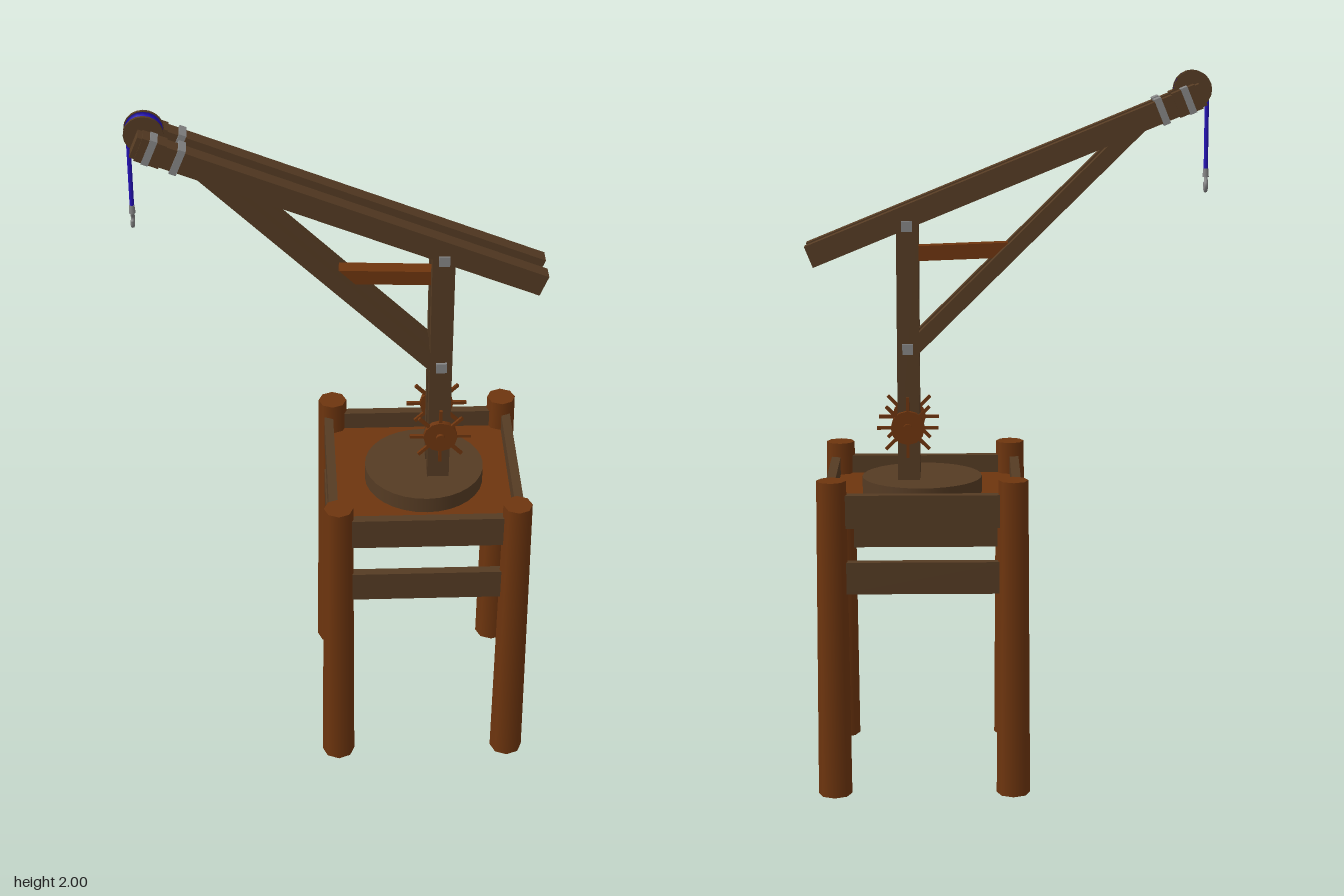
import * as THREE from 'three';

const mat = (name, color, side = THREE.FrontSide) => {
  const m = new THREE.MeshStandardMaterial({ color, side });
  m.name = name;
  return m;
};

export function createModel() {
  const wood = mat('dark wood', 0x553b23);
  const rust = mat('red wood', 0x6e350e);
  const blue = mat('blue rope', 0x2411b8);
  const iron = mat('grey iron', 0x868686);
  const crane = new THREE.Group();
  crane.name = 'crane';

  const add = (name, geo, material, x, y, z, parent = crane) => {
    const mesh = new THREE.Mesh(geo, material);
    mesh.name = name;
    mesh.position.set(x, y, z);
    parent.add(mesh);
    return mesh;
  };
  const box = (name, material, w, h, d, x, y, z) =>
    add(name, new THREE.BoxGeometry(w, h, d), material, x, y, z);
  // Square bar running between two points of a plane parallel to the front
  const bar = (name, material, a, b, h, d, z) => {
    const dx = b[0] - a[0], dy = b[1] - a[1];
    const mesh = box(name, material, Math.hypot(dx, dy), h, d, (a[0] + b[0]) / 2, (a[1] + b[1]) / 2, z);
    mesh.rotation.z = Math.atan2(dy, dx);
    return mesh;
  };
  // Round part whose axis runs front to back
  const disc = (name, material, r, len, sides, x, y, z) => {
    const mesh = add(name, new THREE.CylinderGeometry(r, r, len, sides), material, x, y, z);
    mesh.rotation.x = Math.PI / 2;
    return mesh;
  };

  // Tower: tapered posts, two rows of rails, deck and turntable
  const cx = 0.235;
  for (const sx of [-1, 1])
    for (const sz of [-1, 1])
      add('towerPost', new THREE.CylinderGeometry(0.041, 0.047, 0.9, 8), rust, cx + sx * 0.25, 0.45, sz * 0.265);
  for (const [y, h] of [[0.813, 0.093], [0.625, 0.09]])
    for (const s of [-1, 1]) {
      box('longRail', wood, 0.47, h, 0.026, cx, y, s * 0.262);
      box('sideRail', wood, 0.026, h, 0.5, cx + s * 0.262, y, 0);
    }
  box('deck', rust, 0.51, 0.025, 0.51, cx, 0.795, 0);
  add('turntable', new THREE.CylinderGeometry(0.17, 0.17, 0.05, 32), wood, 0.24, 0.83, 0);

  // Line along the middle of the jib
  const jibL = [-0.54, 1.936], jibR = [0.55, 1.489];
  const tilt = Math.atan2(jibR[1] - jibL[1], jibR[0] - jibL[0]);
  const onJib = (x) => jibL[1] + (x - jibL[0]) * Math.tan(tilt);

  for (const s of [-1, 1]) {
    // Mast, jib and brace of each side
    box('mast', wood, 0.062, 0.75, 0.042, 0.276, 1.225, s * 0.042);
    bar('jibBeam', wood, jibL, jibR, 0.063, 0.044, s * 0.043);
    bar('brace', wood, [-0.385, 1.87], [0.27, 1.222], 0.042, 0.038, s * 0.042);
    bar('jibCheek', wood, [-0.528, onJib(-0.528)], [-0.465, onJib(-0.465)], 0.07, 0.048, s * 0.044);

    // Iron straps round the jib and bolt plates on the mast
    for (const x of [-0.5, -0.428])
      box('jibStrap', iron, 0.02, 0.076, 0.053, x, onJib(x), s * 0.042).rotation.z = tilt;
    for (const y of [1.575, 1.23])
      box('boltPlate', iron, 0.03, 0.03, 0.009, 0.277, y, s * 0.066);

    // Winch wheel with eight handles
    const wheel = new THREE.Group();
    wheel.name = 'winchWheel';
    wheel.position.set(0.278, 1.01, s * 0.082);
    crane.add(wheel);
    const hub = add('wheelHub', new THREE.CylinderGeometry(0.048, 0.048, 0.016, 12), rust, 0, 0, 0, wheel);
    hub.rotation.x = Math.PI / 2;
    for (let i = 0; i < 8; i++) {
      const a = (i * Math.PI) / 4;
      const spoke = add('wheelHandle', new THREE.BoxGeometry(0.052, 0.009, 0.009), rust,
        Math.cos(a) * 0.06, Math.sin(a) * 0.06, 0, wheel);
      spoke.rotation.z = a;
    }
  }
  bar('crossStrut', rust, [-0.005, 1.503], [0.29, 1.492], 0.042, 0.044, 0);
  disc('winchAxle', rust, 0.013, 0.2, 10, 0.278, 1.01, 0);

  // Pulley: flanges with a rope-filled groove
  const px = -0.515, py = 1.947;
  for (const s of [-1, 1]) disc('pulleyFlange', wood, 0.053, 0.008, 20, px, py, s * 0.017);
  const groove = [[0, -0.013], [0.051, -0.013], [0.045, -0.005], [0.045, 0.005], [0.051, 0.013], [0, 0.013]];
  const drum = add('pulleyRope',
    new THREE.LatheGeometry(groove.map(([r, y]) => new THREE.Vector2(r, y)), 20), blue, px, py, 0);
  drum.rotation.x = Math.PI / 2;

  // Hanging rope and hook
  const rx = -0.556;
  add('hoistRope', new THREE.CylinderGeometry(0.006, 0.006, 0.23, 8), blue, rx, 1.835, 0);
  add('hookCollar', new THREE.CylinderGeometry(0.007, 0.009, 0.024, 8), iron, rx, 1.716, 0);
  const hookPath = new THREE.CatmullRomCurve3(
    [[1.715, 0], [1.7, -0.005], [1.683, -0.014], [1.669, -0.008], [1.666, 0.003], [1.673, 0.012], [1.686, 0.014]]
      .map(([y, z]) => new THREE.Vector3(0, y, z)));
  add('hook', new THREE.TubeGeometry(hookPath, 20, 0.0055, 8), iron, rx, 0, 0);
  add('hookTip', new THREE.SphereGeometry(0.0055, 8, 6), iron, rx, 1.686, 0.014);

  return crane;
}
